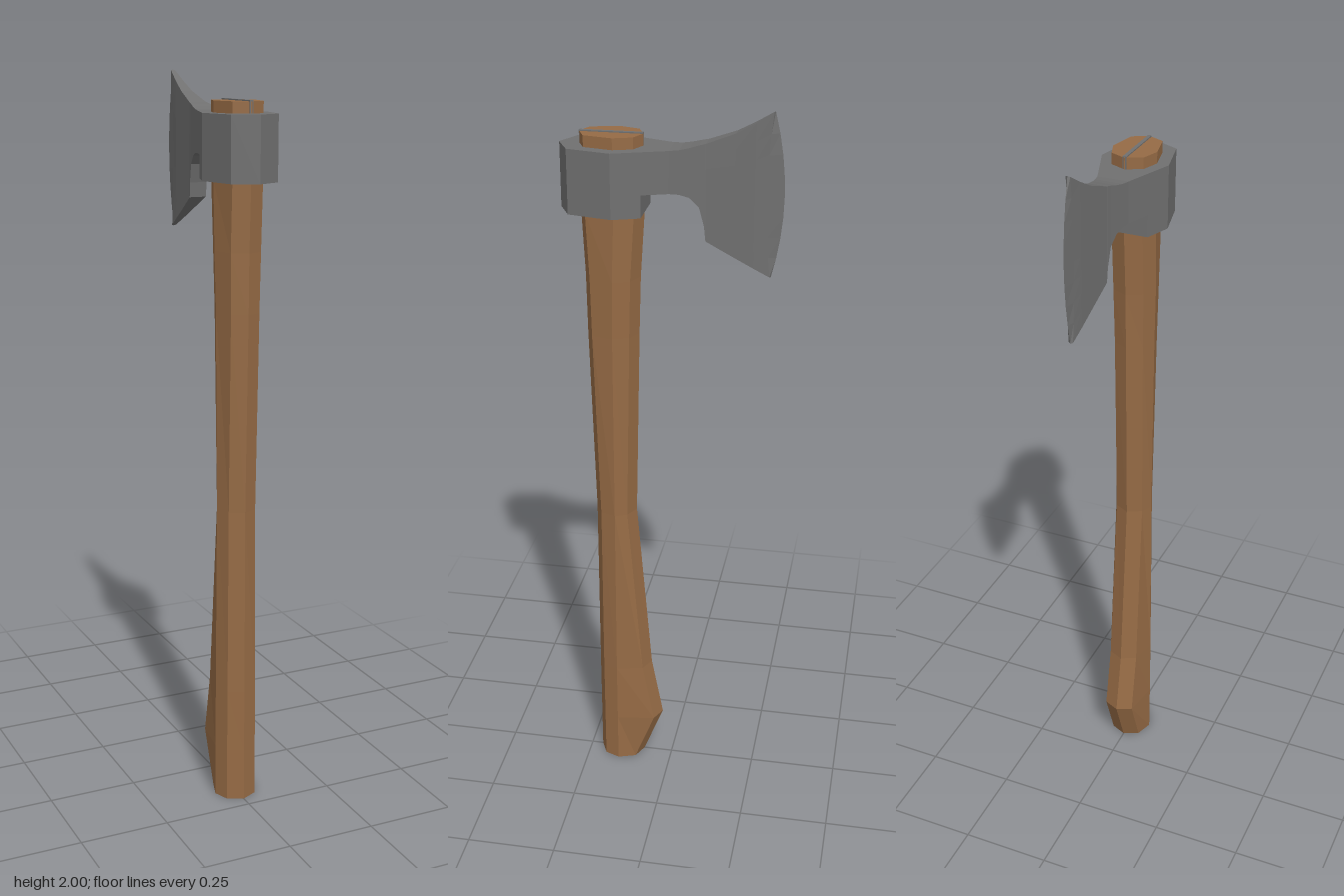
import * as THREE from 'three';

const wood = new THREE.MeshStandardMaterial({ color: 0x966b45, flatShading: true });
const steel = new THREE.MeshStandardMaterial({ color: 0x707070, flatShading: true });

// Skin a list of equal-length rings (clockwise seen from the last ring) and cap both ends.
function loft(rings) {
  const pos = [];
  const tri = (...pts) => pts.forEach((p) => pos.push(...p));
  const n = rings[0].length;
  const centre = (r) => [0, 1, 2].map((k) => r.reduce((s, p) => s + p[k], 0) / n);
  const first = rings[0], last = rings[rings.length - 1];
  const c0 = centre(first), c1 = centre(last);
  for (let j = 0; j < n; j++) {
    const k = (j + 1) % n;
    for (let i = 0; i < rings.length - 1; i++) {
      const a = rings[i][j], b = rings[i][k], c = rings[i + 1][k], d = rings[i + 1][j];
      tri(a, d, c, a, c, b);
    }
    tri(c0, first[j], first[k], c1, last[k], last[j]);
  }
  const g = new THREE.BufferGeometry();
  g.setAttribute('position', new THREE.Float32BufferAttribute(pos, 3));
  g.computeVertexNormals();
  return g;
}

function part(name, geometry, material) {
  const mesh = new THREE.Mesh(geometry, material);
  mesh.name = name;
  return mesh;
}

// Eight-sided handle section: near edge z0, widest z, far edge z1, half width
function handleRing([y, z0, zw, z1, w]) {
  const s = w * 0.72;
  return [
    [0, y, z0], [s, y, z0 + 0.02], [w, y, zw], [s, y, z1 - 0.02],
    [0, y, z1], [-s, y, z1 - 0.02], [-w, y, zw], [-s, y, z0 + 0.02],
  ];
}

// Blade section: end z, forward bulge at mid height, top, bottom, half width
function bladeRing([z, bulge, top, bottom, w]) {
  const rows = 8, side = [];
  for (let i = 0; i <= rows; i++) {
    const t = i / rows;
    side.push([-w, top + (bottom - top) * t, z - bulge * (1 - (2 * t - 1) ** 2)]);
  }
  return [...side, ...side.map(([x, y, zz]) => [-x, y, zz]).reverse()];
}

export function createModel() {
  const axe = new THREE.Group();
  axe.name = 'axe';

  // Handle with swelling grip end, running up through the eye
  axe.add(part('handle', loft([
    [0, 0.085, 0.155, 0.217, 0.06],
    [0.15, 0.027, 0.155, 0.217, 0.06],
    [0.33, 0.06, 0.155, 0.217, 0.059],
    [0.85, 0.1, 0.153, 0.215, 0.055],
    [1.39, 0.087, 0.15, 0.228, 0.057],
    [1.55, 0.082, 0.147, 0.23, 0.06],
    [1.73, 0.07, 0.14, 0.238, 0.06],
    [1.93, 0.07, 0.14, 0.238, 0.06],
  ].map(handleRing)), wood));

  // Metal wedge across the handle top
  const wedge = part('wedge', new THREE.BoxGeometry(0.01, 0.06, 0.166), steel);
  wedge.position.set(0, 1.903, 0.154);
  axe.add(wedge);

  const head = new THREE.Group();
  head.name = 'axeHead';
  axe.add(head);

  // Faceted eye block around the handle
  const outline = [[0.066, 0.068], [0.092, 0.14], [0.066, 0.257], [0, 0.29],
    [-0.066, 0.257], [-0.092, 0.14], [-0.066, 0.068]];
  const eyeShape = new THREE.Shape(outline.map(([x, z]) => new THREE.Vector2(x, -z)));
  const eye = new THREE.ExtrudeGeometry(eyeShape, { depth: 0.17, bevelEnabled: false });
  eye.rotateX(-Math.PI / 2).translate(0, 1.73, 0);
  head.add(part('eye', eye, steel));

  // Neck flaring into a bearded blade, ending in a bevelled cutting edge
  head.add(part('blade', loft([
    [0.068, 0, 1.9, 1.79, 0.066],
    [0, 0, 1.9, 1.79, 0.042],
    [-0.025, 0, 1.902, 1.788, 0.037],
    [-0.05, 0, 1.907, 1.78, 0.032],
    [-0.075, 0, 1.914, 1.755, 0.027],
    [-0.088, 0, 1.917, 1.705, 0.025],
    [-0.092, 0, 1.918, 1.665, 0.024],
    [-0.165, 0, 1.945, 1.623, 0.016],
    [-0.215, 0, 1.972, 1.595, 0.011],
    [-0.257, -0.012, 1.998, 1.572, 0.006],
    [-0.26, 0.029, 2, 1.57, 0],
  ].map(bladeRing)), steel));

  return axe;
}
